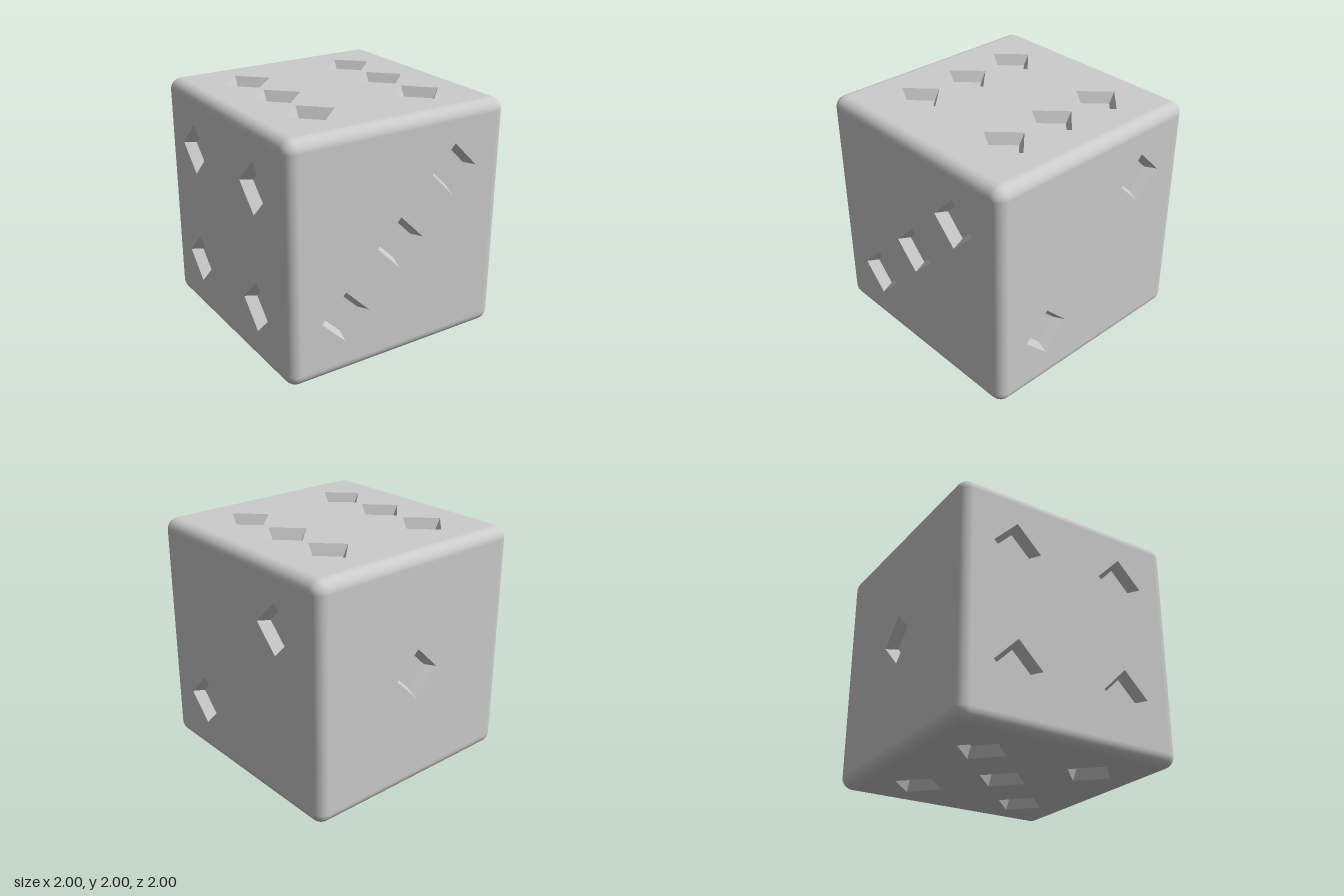
import * as THREE from 'three';

const HALF = 1;        // half the cube's side
const R = 0.1;         // edge rounding
const FLAT = HALF - R; // half the flat part of a side
const PIP_OUT = 0.215; // pip half diagonal at the surface
const PIP_IN = 0.163;  // pip half diagonal at the floor
const DEPTH = 0.09;    // pip depth

export function createModel() {
  const grey = new THREE.MeshStandardMaterial({ color: 0xcccccc });
  grey.name = 'light grey';

  const model = new THREE.Group();
  model.name = 'die';
  const body = new THREE.Group();
  body.name = 'body';
  body.position.y = HALF;
  model.add(body);

  const add = (parent, name, geometry) => {
    const mesh = new THREE.Mesh(geometry, grey);
    mesh.name = name;
    parent.add(mesh);
    return mesh;
  };

  // Inward-facing sloped walls of one pip, mouth at z = 0
  const wallBase = new THREE.CylinderGeometry(PIP_OUT, PIP_IN, DEPTH, 4, 1, true);
  wallBase.scale(-1, 1, 1); // mirrored, so the faces point inward
  wallBase.rotateX(Math.PI / 2).translate(0, 0, -DEPTH / 2);
  const pipWalls = wallBase.toNonIndexed();
  pipWalls.computeVertexNormals();
  const pipFloor = new THREE.CircleGeometry(PIP_IN, 4).translate(0, 0, -DEPTH);

  // One flat side with diamond holes and recessed pips
  const addSide = (name, pips, rx, ry) => {
    const side = new THREE.Group();
    side.name = name;
    side.rotation.set(rx, ry, 0);
    const shape = new THREE.Shape([
      new THREE.Vector2(-FLAT, -FLAT), new THREE.Vector2(FLAT, -FLAT),
      new THREE.Vector2(FLAT, FLAT), new THREE.Vector2(-FLAT, FLAT),
    ]);
    for (const [u, v] of pips) {
      shape.holes.push(new THREE.Path([
        new THREE.Vector2(u + PIP_OUT, v), new THREE.Vector2(u, v - PIP_OUT),
        new THREE.Vector2(u - PIP_OUT, v), new THREE.Vector2(u, v + PIP_OUT),
      ]));
      add(side, 'pipWalls', pipWalls).position.set(u, v, HALF);
      add(side, 'pipFloor', pipFloor).position.set(u, v, HALF);
    }
    add(side, 'panel', new THREE.ShapeGeometry(shape)).position.z = HALF;
    body.add(side);
  };

  const h = 0.5, q = Math.PI / 2;
  const corners = [[-h, -h], [h, -h], [-h, h], [h, h]];
  addSide('backSide', [[0, 0]], 0, Math.PI);
  addSide('leftSide', [[-h, -h], [h, h]], 0, q);
  addSide('frontSide', [[-h, -h], [0, 0], [h, h]], 0, 0);
  addSide('rightSide', corners, 0, -q);
  addSide('bottomSide', [...corners, [0, 0]], q, 0);
  addSide('topSide', [...corners, [-h, 0], [h, 0]], -q, 0);

  // Rounded edges along the three axes and rounded corners
  const edge = new THREE.CylinderGeometry(R, R, 2 * FLAT, 8, 1, true, 0, q).translate(FLAT, 0, FLAT);
  const corner = new THREE.SphereGeometry(R, 8, 8, q, q, 0, q).translate(FLAT, FLAT, FLAT);
  for (let i = 0; i < 4; i++) {
    const turnedEdge = edge.clone().rotateY(i * q);
    add(body, 'uprightEdge', turnedEdge);
    add(body, 'depthEdge', turnedEdge.clone().rotateX(q));
    add(body, 'widthEdge', turnedEdge.clone().rotateZ(q));
    const turnedCorner = corner.clone().rotateY(i * q);
    add(body, 'topCorner', turnedCorner);
    add(body, 'bottomCorner', turnedCorner.clone().rotateX(Math.PI));
  }
  return model;
}
